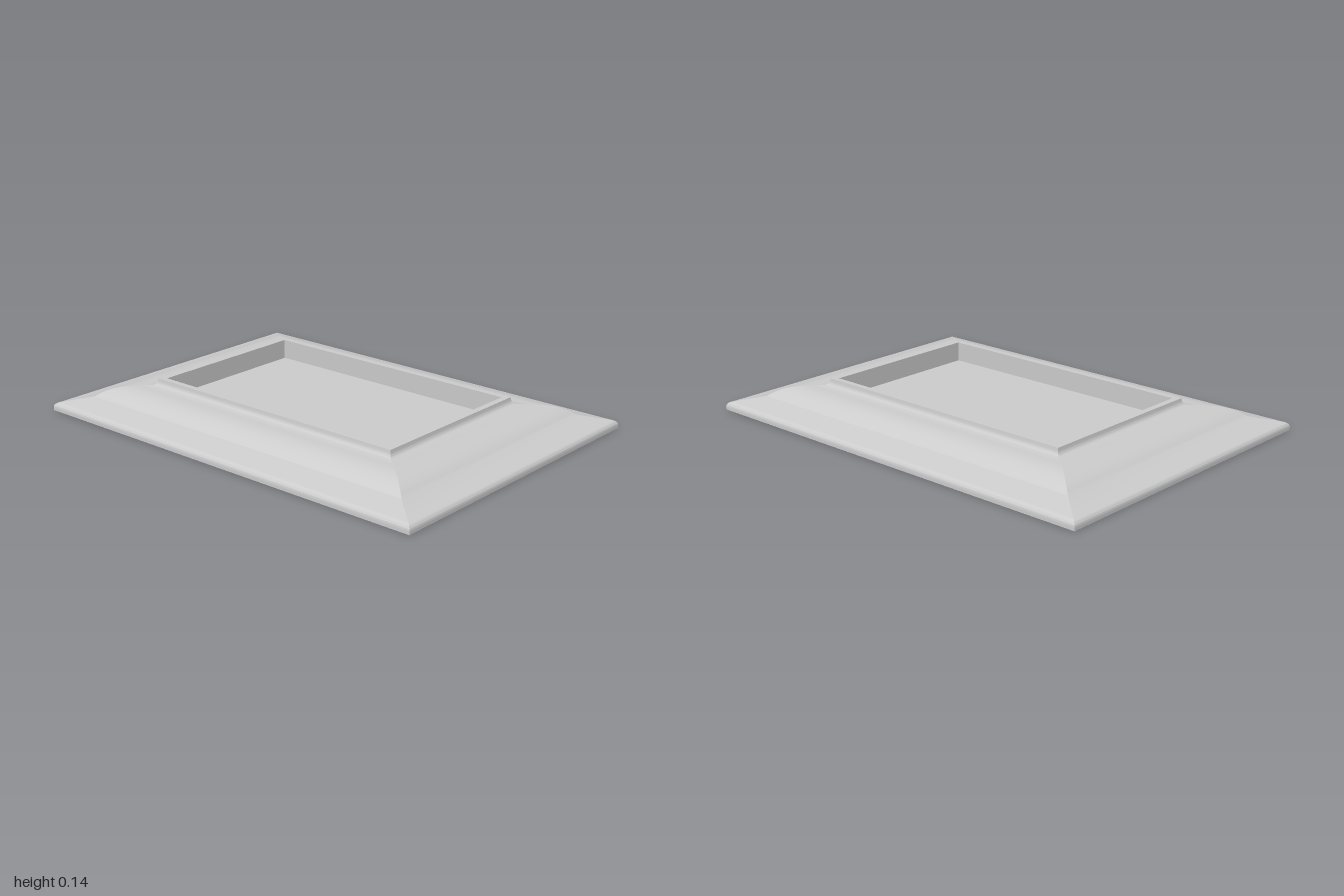
import * as THREE from 'three';
import { mergeGeometries, toCreasedNormals } from 'three/addons/utils/BufferGeometryUtils.js';

const HALF_X = 0.722, HALF_Z = 1, Z_STRETCH = 1.09; // moulding is slightly wider on the short ends
const PANEL_Y = 0.055;

// Moulding section as [inset from outer edge, height], from the foot to the recess floor
function mouldingSection() {
  const path = new THREE.Path();
  path.moveTo(0, 0);
  path.lineTo(0, 0.012);
  path.bezierCurveTo(0, 0.026, 0.008, 0.035, 0.024, 0.038); // rounded outer edge
  path.lineTo(0.124, 0.063);                                // shallow slope
  path.bezierCurveTo(0.158, 0.094, 0.2, 0.112, 0.262, 0.112); // ovolo
  path.lineTo(0.295, 0.113);
  path.bezierCurveTo(0.308, 0.113, 0.314, 0.122, 0.316, 0.144); // cove under the rim
  path.lineTo(0.342, 0.144);                                // flat rim
  path.lineTo(0.342, PANEL_Y);                              // recess wall
  return path.getPoints(10);
}

// One mitred side; 'a' and 'b' are the corner signs at its two ends
function mitredSide(section, a, b) {
  const positions = [], index = [];
  section.forEach((p, i) => {
    for (const [sx, sz] of [a, b]) {
      positions.push(sx * (HALF_X - p.x), p.y, sz * (HALF_Z - p.x * Z_STRETCH));
    }
    if (i > 0) {
      const k = (i - 1) * 2;
      index.push(k, k + 1, k + 3, k, k + 3, k + 2);
    }
  });
  const geometry = new THREE.BufferGeometry();
  geometry.setAttribute('position', new THREE.Float32BufferAttribute(positions, 3));
  geometry.setIndex(index);
  return toCreasedNormals(geometry, 0.45);
}

export function createModel() {
  const group = new THREE.Group();
  const material = new THREE.MeshStandardMaterial({ color: 0xcccccc, side: THREE.DoubleSide });
  const add = (name, geometry) => {
    const mesh = new THREE.Mesh(geometry, material);
    mesh.name = name;
    group.add(mesh);
    return mesh;
  };

  // Frame: four mitred lengths of moulding
  const section = mouldingSection();
  const corners = [[-1, 1], [1, 1], [1, -1], [-1, -1]];
  add('frameMoulding', mergeGeometries(
    corners.map((c, i) => mitredSide(section, c, corners[(i + 1) % 4]))));

  // Recessed panel inside the frame
  const inset = section[section.length - 1].x;
  const panel = new THREE.PlaneGeometry(2 * (HALF_X - inset), 2 * (HALF_Z - inset * Z_STRETCH));
  add('recessedPanel', panel.rotateX(-Math.PI / 2)).position.y = PANEL_Y;

  // Flat back
  add('back', new THREE.PlaneGeometry(2 * HALF_X, 2 * HALF_Z).rotateX(Math.PI / 2));

  return group;
}
